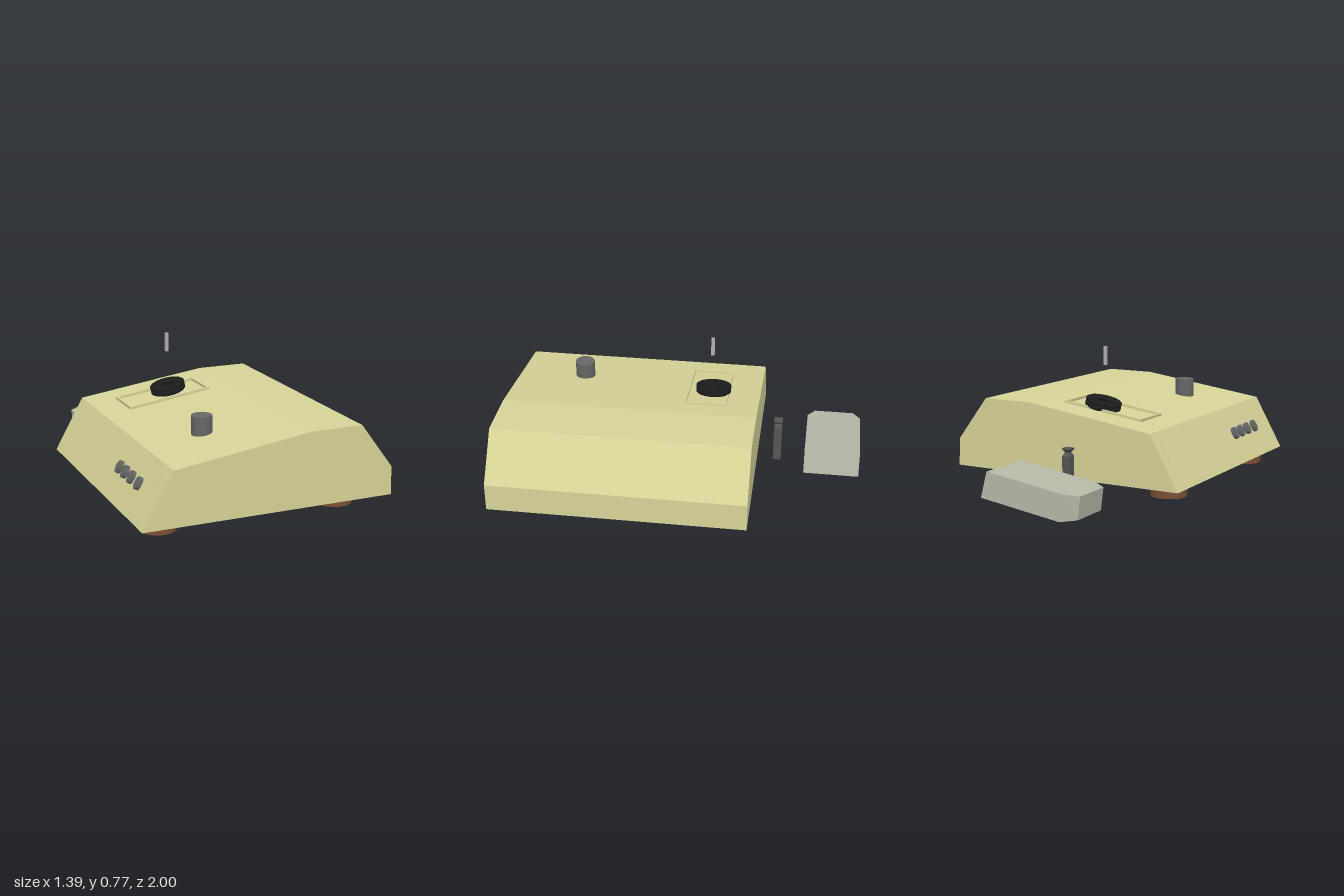
import * as THREE from 'three';

const mat = (color, extra = {}) => new THREE.MeshStandardMaterial({ color, ...extra });

export function createModel() {
  const model = new THREE.Group();
  const shell = mat(0xd6d296);
  const brown = mat(0x7a4f33);
  const grey = mat(0x666666);
  const black = mat(0x1c1c1c);

  const add = (parent, name, geometry, material, x = 0, y = 0, z = 0) => {
    const mesh = new THREE.Mesh(geometry, material);
    mesh.name = name;
    mesh.position.set(x, y, z);
    parent.add(mesh);
    return mesh;
  };
  // A group lying on a sloped face: local x runs up the slope, local y points out
  const slopeGroup = (name, x, y, z, angle) => {
    const g = new THREE.Group();
    g.name = name;
    g.position.set(x, y, z);
    g.rotation.z = angle;
    model.add(g);
    return g;
  };

  // Wedge-shaped case, one profile swept along z
  const profile = [[-0.7, 0.07], [0.69, 0.07], [0.685, 0.225], [0.5, 0.47], [0.21, 0.47], [-0.535, 0.365]];
  const caseShape = new THREE.Shape(profile.map(([x, y]) => new THREE.Vector2(x, y)));
  add(model, 'case', new THREE.ExtrudeGeometry(caseShape, { depth: 1.418, bevelEnabled: false }), shell, 0, 0, -0.418);

  // Round feet
  for (const x of [-0.545, 0.457]) for (const z of [-0.21, 0.8]) {
    add(model, 'foot', new THREE.CylinderGeometry(0.1, 0.1, 0.075, 32), brown, x, 0.0375, z);
  }

  // Control panel with four oval buttons on the steep side
  const panel = slopeGroup('controlPanel', -0.7, 0.07, 0, Math.atan2(0.295, 0.165));
  add(panel, 'panelPlate', new THREE.BoxGeometry(0.277, 0.006, 1.28), shell, 0.149, 0, 0.28);
  for (const z of [0.475, 0.56, 0.65, 0.75]) {
    const button = add(panel, 'button', new THREE.CylinderGeometry(1, 1, 0.032, 24), grey, 0.178, 0.009, z);
    button.scale.set(0.035, 1, 0.023);
  }

  // Large upright knob
  add(model, 'knob', new THREE.CylinderGeometry(0.055, 0.055, 0.12, 32), grey, -0.225, 0.445, 0.62);

  // Raised rectangular rim on the top slope
  const rim = slopeGroup('rim', -0.148, 0.4195, -0.15, Math.atan2(0.105, 0.745));
  const rect = (w, h, C) => new C([[-w, -h], [w, -h], [w, h], [-w, h]].map(([x, y]) => new THREE.Vector2(x, y)));
  const rimShape = rect(0.242, 0.12, THREE.Shape);
  rimShape.holes.push(rect(0.229, 0.107, THREE.Path));
  const rimGeo = new THREE.ExtrudeGeometry(rimShape, { depth: 0.015, bevelEnabled: false });
  rimGeo.rotateX(-Math.PI / 2);
  add(rim, 'rimFrame', rimGeo, shell, 0, 0, 0.03);

  // Tilted grooved ring, its profile closed around an open centre
  const ringProfile = [[0.035, -0.024], [0.094, -0.024], [0.1, -0.018], [0.1, -0.004], [0.092, -0.001],
    [0.092, 0.003], [0.1, 0.006], [0.1, 0.018], [0.094, 0.023], [0.05, 0.023], [0.035, 0.016], [0.035, -0.024]];
  const ring = add(model, 'ring', new THREE.LatheGeometry(ringProfile.map(([r, y]) => new THREE.Vector2(r, y)), 40),
    mat(0x1c1c1c, { flatShading: true }), -0.105, 0.453, -0.15);
  ring.rotation.z = 0.23;

  // Small pin floating above the ring
  add(model, 'pin', new THREE.BoxGeometry(0.016, 0.105, 0.02), mat(0xb0b0b0), -0.113, 0.718, -0.142);

  // Square post with a narrow neck and flared head
  const postProfile = [[0, 0.005], [0.023, 0.005], [0.023, 0.225], [0.012, 0.245], [0.024, 0.262], [0.024, 0.268], [0, 0.268]];
  add(model, 'post', new THREE.LatheGeometry(
    postProfile.map(([r, y]) => new THREE.Vector2(r * Math.SQRT2, y)), 4, Math.PI / 4),
  mat(0x555555, { flatShading: true }), -0.107, 0, -0.528);

  // Loose cover behind the case: open underneath, clipped corners at one end
  const side = [ // top x, top y, bottom x, bottom y, half depth
    [0.085, 0.21, 0.122, 0.07, 0.155],
    [-0.37, 0.146, -0.345, 0.005, 0.155],
    [-0.44, 0.136, -0.425, 0.015, 0.113],
  ];
  const outline = [
    ...side.map((p) => [...p.slice(0, 4), -p[4]]),
    ...side.slice().reverse(),
  ];
  const zc = -0.845;
  const top = outline.map(([x, y, , , z]) => [x, y, zc + z]);
  const bottom = outline.map(([, , x, y, z]) => [x, y, zc + z]);
  const tris = [];
  const n = outline.length;
  for (let i = 0; i < n; i++) {
    const j = (i + 1) % n;
    tris.push(top[i], bottom[j], bottom[i], top[i], top[j], bottom[j]);
    if (i > 0 && i < n - 1) tris.push(top[0], top[i], top[j]);
  }
  const coverGeo = new THREE.BufferGeometry();
  coverGeo.setAttribute('position', new THREE.Float32BufferAttribute(tris.flat(), 3));
  coverGeo.computeVertexNormals();
  add(model, 'cover', coverGeo, mat(0xb6b8a6, { side: THREE.DoubleSide, flatShading: true }));

  return model;
}
